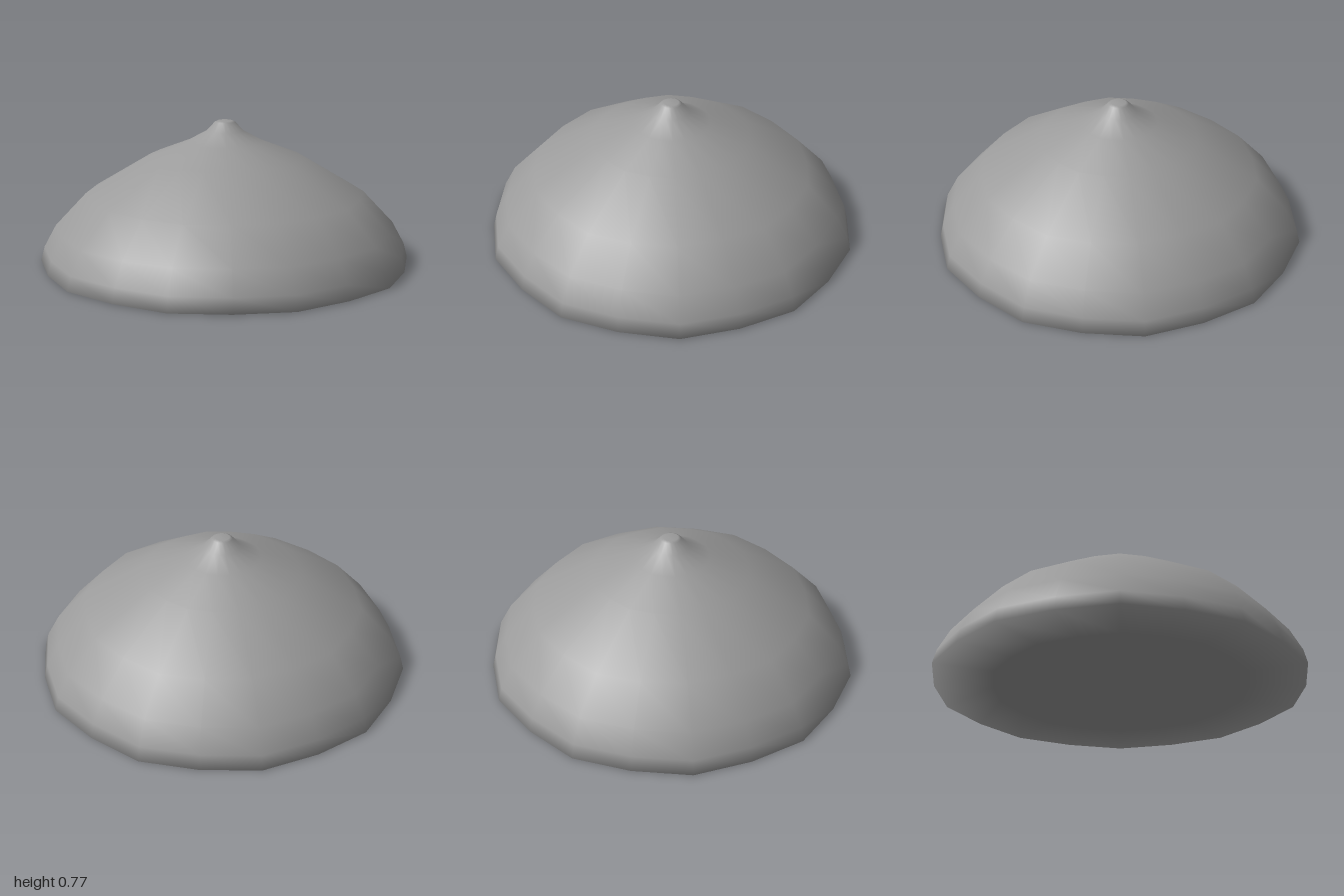
import * as THREE from 'three';

const SIDES = 20;
const RIM = 2; // index of the rim in the profile

// Radius and height, from the centre of the underside up to the tip
const PROFILE = [
  [0, 0], [0.68, 0], [1, 0.004], [0.98, 0.08], [0.915, 0.2], [0.75, 0.375],
  [0.427, 0.567], [0.21, 0.652], [0.1, 0.712], [0.055, 0.76], [0.04, 0.767], [0, 0.768],
];

export function createModel() {
  const group = new THREE.Group();
  group.name = 'pointedDome';

  const points = PROFILE.map(([r, y]) => new THREE.Vector2(r, y));
  const geometry = new THREE.LatheGeometry(points, SIDES);
  const { position, normal } = geometry.attributes;
  const n = new THREE.Vector3();

  for (let i = 0; i < position.count; i++) {
    // Soft shading rolls from the wall over the rim onto the underside
    if (i % points.length === RIM) {
      n.set(position.getX(i), -0.35, position.getZ(i)).normalize();
      normal.setXYZ(i, n.x, n.y, n.z);
    }
    // Every second rib is pulled in slightly, giving the uneven rim
    const s = Math.floor(i / points.length) % 2 ? 0.982 : 1;
    position.setX(i, position.getX(i) * s);
    position.setZ(i, position.getZ(i) * s);
  }

  const dome = new THREE.Mesh(geometry, new THREE.MeshStandardMaterial({ color: 0x9b9b9b }));
  dome.name = 'dome';
  group.add(dome);
  return group;
}
